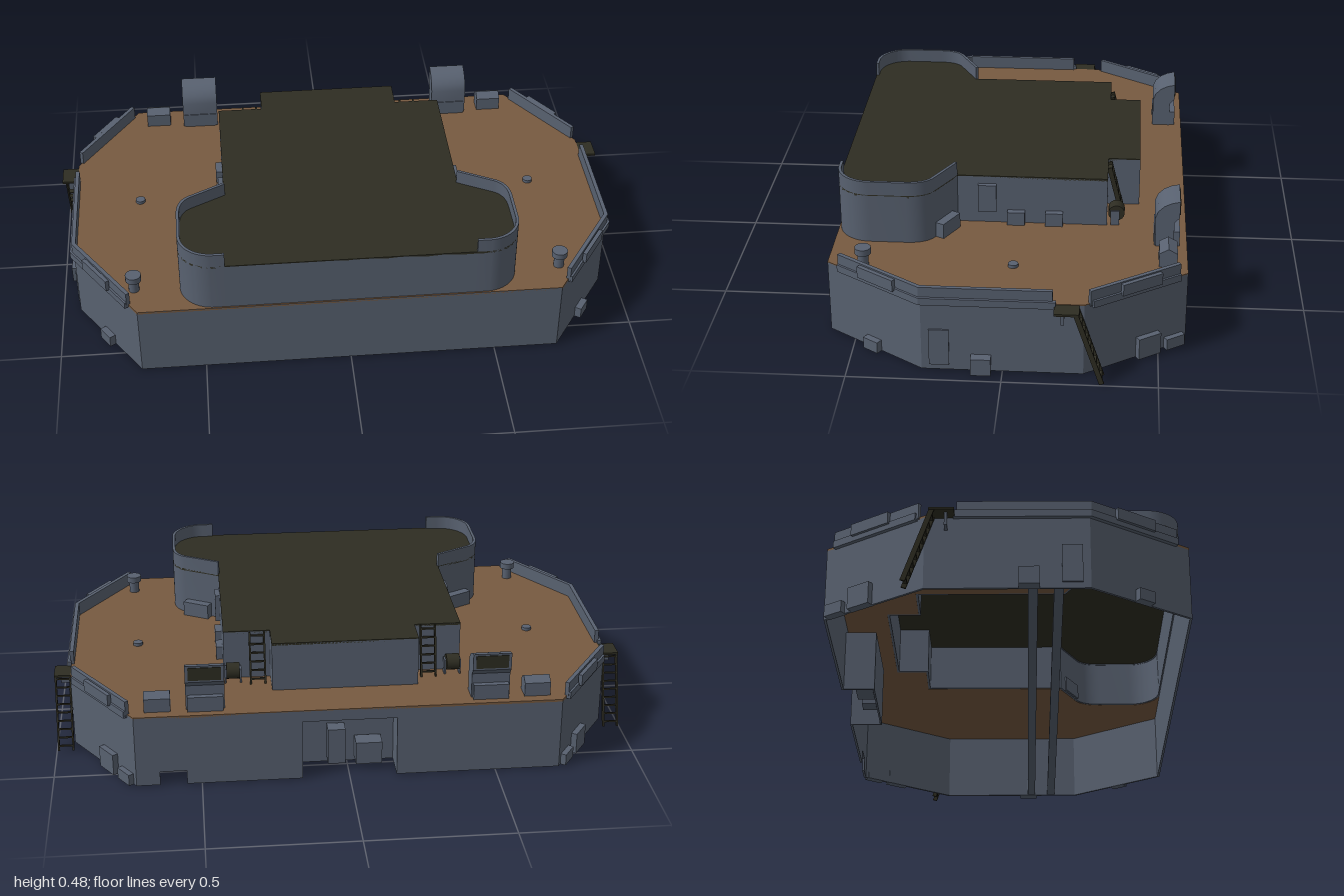
import * as THREE from 'three';
import { toCreasedNormals } from 'three/addons/utils/BufferGeometryUtils.js';

const mat = (name, color) => {
  const m = new THREE.MeshStandardMaterial({ color, side: THREE.DoubleSide });
  m.name = name;
  return m;
};

export function createModel() {
  const grey = mat('hull grey', 0x586170);
  const brown = mat('deck brown', 0x775a40);
  const dark = mat('roof dark', 0x2e2d22);
  const model = new THREE.Group();

  const add = (name, geo, m = grey, parent = model) => {
    const mesh = new THREE.Mesh(geo, m);
    mesh.name = name;
    parent.add(mesh);
    return mesh;
  };
  const box = (name, w, h, d, x, y, z, m = grey, ry = 0, parent = model) => {
    const b = add(name, new THREE.BoxGeometry(w, h, d), m, parent);
    b.position.set(x, y + h / 2, z); // y is the bottom
    b.rotation.y = ry;
    return b;
  };
  // plan points are [x, z]; the slab rises from y0 to y1
  const flat = (p) => p.map(([x, z]) => new THREE.Vector2(x, -z));
  const slab = (pts, y0, y1, hole) => {
    const shape = new THREE.Shape(flat(pts));
    if (hole) shape.holes.push(new THREE.Path(flat(hole)));
    const g = new THREE.ExtrudeGeometry(shape, { depth: y1 - y0, bevelEnabled: false });
    return g.rotateX(-Math.PI / 2).translate(0, y0, 0);
  };
  // wall of thickness t along a plan path, offset to one side with mitres
  const wall = (pts, t, y0, y1) => {
    const normal = (a, b) => {
      const dx = b[0] - a[0], dz = b[1] - a[1], l = Math.hypot(dx, dz);
      return [-dz / l, dx / l];
    };
    const inner = pts.map((p, i) => {
      const n0 = normal(pts[Math.max(i - 1, 0)], pts[Math.max(i, 1)]);
      const n1 = i < pts.length - 1 ? normal(p, pts[i + 1]) : n0;
      const k = t / (1 + n0[0] * n1[0] + n0[1] * n1[1]);
      return [p[0] + (n0[0] + n1[0]) * k, p[1] + (n0[1] + n1[1]) * k];
    });
    return toCreasedNormals(slab([...pts, ...inner.reverse()], y0, y1), 0.5);
  };
  const flip = (pts, s) => pts.map(([x, z]) => [x * s, z]);
  // profile points are [z, y]; the solid is extruded along x, centred on x
  const profile = (pts, w, x) => {
    const shape = new THREE.Shape(pts.map(([z, y]) => new THREE.Vector2(-z, y)));
    const g = new THREE.ExtrudeGeometry(shape, { depth: w, bevelEnabled: false });
    return toCreasedNormals(g.rotateY(Math.PI / 2).translate(x - w / 2, 0, 0), 0.6);
  };
  const ladder = (name, x, [z0, y0], [z1, y1], w, n) => {
    const g = new THREE.Group();
    g.name = name;
    g.position.set(x, y0, z0);
    g.rotation.x = Math.atan2(z1 - z0, y1 - y0);
    const len = Math.hypot(z1 - z0, y1 - y0);
    for (const s of [-1, 1]) box('ladderRail', 0.006, len, 0.016, s * w / 2, 0, 0, dark, 0, g);
    for (let i = 0; i < n; i++) box('ladderRung', w, 0.005, 0.014, 0, (i + 0.5) * len / n, 0, dark, 0, g);
    model.add(g);
  };

  // superstructure outline, half then mirrored
  const path = new THREE.Path();
  path.moveTo(0, -0.43).lineTo(0.25, -0.43).lineTo(0.25, -0.32).lineTo(0.41, -0.32).lineTo(0.41, 0.19);
  path.lineTo(0.53, 0.255).quadraticCurveTo(0.575, 0.28, 0.575, 0.35).lineTo(0.575, 0.47);
  path.absarc(0.46, 0.47, 0.115, 0, Math.PI / 2, false);
  path.lineTo(0.42, 0.585);
  const half = path.getPoints(10).map((p) => [p.x, p.y])
    .filter((p, i, a) => !i || Math.hypot(p[0] - a[i - 1][0], p[1] - a[i - 1][1]) > 1e-4);
  const loop = [...half, ...flip(half, -1).reverse()];

  // hull shell and deck
  const octagon = [[0.72, 0.59], [0.94, 0.26], [0.94, -0.26], [0.72, -0.59],
    [-0.72, -0.59], [-0.94, -0.26], [-0.94, 0.26], [-0.72, 0.59]];
  add('deck', slab(octagon, 0.249, 0.257, loop.slice(1, -1)), brown);
  add('frontWall', wall([[0.72, 0.59], [-0.72, 0.59]], 0.008, 0, 0.255));
  for (const s of [1, -1]) {
    add('sideWall', wall(flip([[0.72, -0.59], [0.94, -0.26], [0.94, 0.26], [0.72, 0.59]], s), 0.008 * s, 0, 0.254));
  }
  // rear wall with a central recess and a small notch
  const rear = (x0, x1, y0) => add('rearWall', wall([[x0, -0.59], [x1, -0.59]], 0.008, y0, 0.254));
  rear(-0.72, -0.16, 0);
  rear(-0.16, 0.16, 0.215);
  rear(0.16, 0.55, 0);
  rear(0.55, 0.64, 0.05);
  rear(0.64, 0.72, 0);
  add('recess', wall([[-0.16, -0.59], [-0.16, -0.48], [0.16, -0.48], [0.16, -0.59]], 0.006, 0, 0.22));
  box('recessCeiling', 0.32, 0.006, 0.11, 0, 0.215, -0.535);
  box('recessLocker', 0.06, 0.13, 0.05, 0.04, 0.02, -0.51);
  box('recessLocker', 0.09, 0.08, 0.06, -0.07, 0.02, -0.515);
  // interior cross beams
  for (const z of [0.08, 0.16]) box('crossBeam', 1.87, 0.025, 0.03, 0, 0.002, z);

  // superstructure
  add('superstructureWall', wall([...half, ...flip(half, -1).reverse()], 0.008, 0.25, 0.429));
  add('roof', slab(loop.slice(1), 0.424, 0.432), dark);

  for (const s of [1, -1]) {
    const chamferFront = 0.983 * s, chamferRear = (Math.PI - 0.983) * s;
    // raised screen around the front wings
    add('wingScreen', wall(flip(half.slice(4), s), 0.01 * s, 0.42, 0.48));

    // low bulwarks along the deck edge with an outer rubbing strip
    const front = [[0.945, -0.16], [0.945, 0.265], [0.755, 0.55]];
    const back = [[0.745, -0.565], [0.935, -0.28]];
    add('bulwark', wall(flip(front, s), 0.014 * s, 0.25, 0.305));
    add('bulwark', wall(flip(back, s), 0.014 * s, 0.25, 0.305));
    add('bulwarkStrip', wall(flip([[0.94, -0.17], [0.94, 0.26], [0.75, 0.545]], s), -0.014 * s, 0.245, 0.27));
    add('bulwarkStrip', wall(flip([[0.74, -0.56], [0.925, -0.283]], s), -0.014 * s, 0.245, 0.27));
    box('bulwarkPlate', 0.15, 0.04, 0.014, s * 0.86, 0.262, 0.41, grey, chamferFront);
    box('bulwarkPlate', 0.15, 0.04, 0.014, s * 0.84, 0.262, -0.44, grey, chamferRear);

    // boarding ladder and platform
    box('ladderPlatform', 0.06, 0.008, 0.08, s * 0.968, 0.247, -0.205, dark);
    box('platformBracket', 0.04, 0.045, 0.01, s * 0.958, 0.203, -0.192);
    ladder('boardingLadder', s * 0.968, [-0.32, 0], [-0.235, 0.25], 0.05, 9);

    // hull side fittings
    box('sideDoor', 0.008, 0.13, 0.065, s * 0.942, 0.02, 0.203);
    box('sideLocker', 0.035, 0.06, 0.065, s * 0.955, 0, 0.068);
    box('hullLocker', 0.06, 0.04, 0.03, s * 0.835, 0, 0.432, grey, chamferFront);
    box('hullLocker', 0.085, 0.075, 0.03, s * 0.81, 0, -0.465, grey, chamferRear);
    box('hullLocker', 0.07, 0.04, 0.03, s * 0.752, 0, -0.55, grey, chamferRear);

    // cowl ventilator opening to the rear
    add('ventilator', profile([[-0.485, 0.25], [-0.48, 0.36], [-0.49, 0.386], [-0.51, 0.406], [-0.535, 0.418],
      [-0.562, 0.424], [-0.562, 0.365], [-0.545, 0.345], [-0.545, 0.25]], 0.13, s * 0.48));
    box('ventilatorMouth', 0.11, 0.046, 0.004, s * 0.48, 0.372, -0.5625, dark);
    box('ventilatorFoot', 0.12, 0.055, 0.085, s * 0.48, 0.255, -0.522);

    // deck locker with sloping lid
    add('deckLocker', profile([[-0.495, 0.25], [-0.495, 0.305], [-0.525, 0.322], [-0.555, 0.305], [-0.555, 0.25]],
      0.088, s * 0.64));

    // bollard and deck plate
    add('bollardPost', new THREE.CylinderGeometry(0.018, 0.018, 0.05, 16)).position.set(s * 0.73, 0.28, 0.47);
    add('bollardCap', new THREE.CylinderGeometry(0.027, 0.027, 0.022, 16)).position.set(s * 0.73, 0.311, 0.47);
    add('deckPlate', new THREE.CylinderGeometry(0.017, 0.017, 0.012, 16)).position.set(s * 0.71, 0.262, -0.02);

    // wall lockers on the superstructure
    box('wallLocker', 0.025, 0.05, 0.06, s * 0.42, 0.255, -0.14);
    box('wallLocker', 0.025, 0.05, 0.06, s * 0.42, 0.255, -0.01);
    box('wallCabinet', 0.02, 0.1, 0.062, s * 0.417, 0.303, 0.088);
    box('wingLocker', 0.1, 0.055, 0.045, s * 0.487, 0.255, 0.222, grey, (Math.PI - 0.5) * s);

    // roof ladder and hose reel beside the rear step
    ladder('roofLadder', s * 0.295, [-0.37, 0.255], [-0.325, 0.43], 0.05, 6);
    const reel = add('hoseReel', new THREE.CylinderGeometry(0.028, 0.028, 0.045, 16), dark);
    reel.rotation.z = Math.PI / 2;
    reel.position.set(s * 0.38, 0.3, -0.352);
    for (const o of [-1, 1]) box('reelBracket', 0.006, 0.055, 0.03, s * 0.38 + o * 0.026, 0.255, -0.347);
  }
  return model;
}
